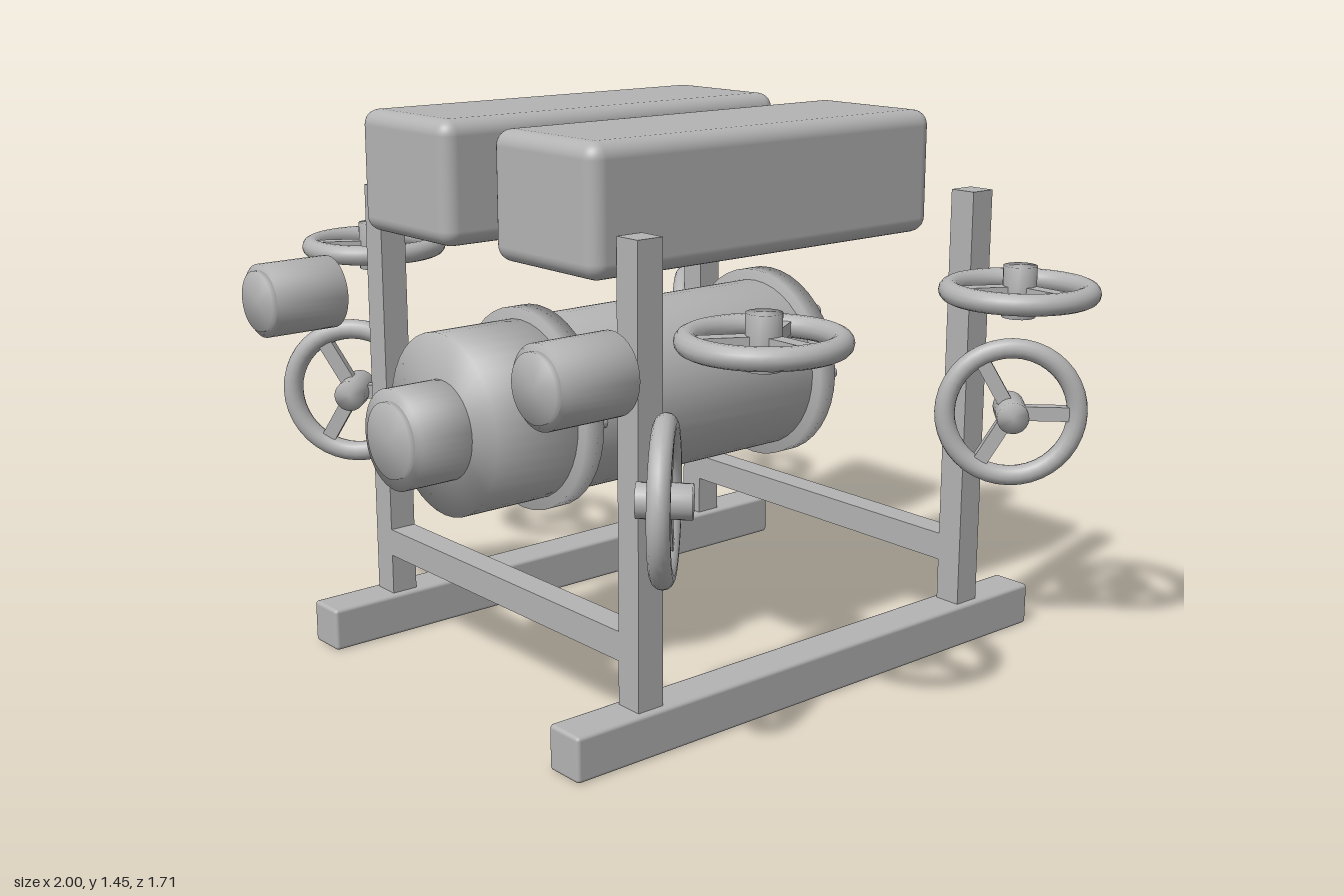
import * as THREE from 'three';
import { mergeVertices } from 'three/addons/utils/BufferGeometryUtils.js';
import { RoundedBoxGeometry } from 'three/addons/geometries/RoundedBoxGeometry.js';

const metal = new THREE.MeshStandardMaterial({ color: 0xb3b3b3 });
metal.name = 'grey metal';

function add(parent, name, geometry, x = 0, y = 0, z = 0) {
  const mesh = new THREE.Mesh(geometry, metal);
  mesh.name = name;
  mesh.position.set(x, y, z);
  parent.add(mesh);
  return mesh;
}

// Cylinder whose rim normals are shared with its caps
function softCylinder(radius, length, segments = 40) {
  const g = new THREE.CylinderGeometry(radius, radius, length, segments);
  g.deleteAttribute('normal');
  g.deleteAttribute('uv');
  const merged = mergeVertices(g);
  merged.computeVertexNormals();
  return merged;
}

// Cylinder lying along z between two depths
function drum(parent, name, radius, z0, z1, x, y) {
  const g = softCylinder(radius, z1 - z0).rotateX(Math.PI / 2);
  return add(parent, name, g, x, y, (z0 + z1) / 2);
}

// Three-spoked handwheel, axis along local y, first spoke along +x
function handwheel(name) {
  const wheel = new THREE.Group();
  wheel.name = name;
  add(wheel, 'rim', new THREE.TorusGeometry(0.173, 0.027, 14, 40).rotateX(Math.PI / 2));
  add(wheel, 'hub', softCylinder(0.042, 0.13, 20));
  for (let i = 0; i < 3; i++) {
    const g = new THREE.BoxGeometry(0.16, 0.03, 0.038);
    g.translate(0.09, 0, 0).rotateY(i * Math.PI * 2 / 3);
    add(wheel, 'spoke', g);
  }
  return wheel;
}

export function createModel() {
  const model = new THREE.Group();
  model.name = 'pumpUnit';

  // Frame, tanks and side lamps, mirrored
  for (const s of [-1, 1]) {
    add(model, 'skid', new RoundedBoxGeometry(0.11, 0.115, 1.59, 2, 0.01), s * 0.53, 0.0575, -0.06);
    add(model, 'tank', new RoundedBoxGeometry(0.39, 0.315, 1.11, 4, 0.04), s * 0.29, 1.2925, 0.045);
    drum(model, 'sideLamp', 0.097, 0.64, 0.84, s * 0.6, 0.96);
    drum(model, 'sideLampLens', 0.08, 0.82, 0.855, s * 0.6, 0.96);
    for (const e of [-1, 1]) {
      const z = e > 0 ? 0.503 : -0.618;
      add(model, 'post', new THREE.BoxGeometry(0.074, 1.14, 0.074), s * 0.53, 0.67, z);

      // Flat and upright handwheels at each corner
      const flat = handwheel('flatHandwheel');
      flat.position.set(s * 0.8, 1.028, e > 0 ? 0.373 : -0.495);
      const upright = handwheel('uprightHandwheel');
      upright.position.set(s * 0.658, 0.66, e > 0 ? 0.538 : -0.658);
      upright.rotation.set(Math.PI / 2, -s * e * Math.PI / 4, 0, 'YXZ');
      model.add(flat, upright);
    }
  }
  for (const z of [0.503, -0.618]) {
    add(model, 'crossbar', new THREE.BoxGeometry(1.0, 0.074, 0.074), 0, 0.262, z);
  }

  // Central vessel with bolted flanges
  const cy = 0.725;
  drum(model, 'vessel', 0.23, -0.38, 0.43, 0, cy);
  drum(model, 'frontFlange', 0.26, 0.393, 0.45, 0, cy);
  drum(model, 'rearFlange', 0.26, -0.403, -0.347, 0, cy);
  for (const z of [0.395, -0.4]) {
    for (let i = 0; i < 8; i++) {
      const a = i * Math.PI / 4;
      drum(model, 'bolt', 0.015, z - 0.028, z + 0.02, Math.cos(a) * 0.228, cy + Math.sin(a) * 0.228);
    }
  }

  // Front motor and nozzle
  drum(model, 'motor', 0.23, 0.43, 0.69, 0, cy);
  drum(model, 'nozzle', 0.126, 0.67, 0.832, 0, 0.713);
  drum(model, 'nozzleCap', 0.095, 0.81, 0.846, 0, 0.713);

  // Upright canister at the rear
  add(model, 'rearCanister', softCylinder(0.073, 0.18), 0, 1.162, -0.724);

  return model;
}
